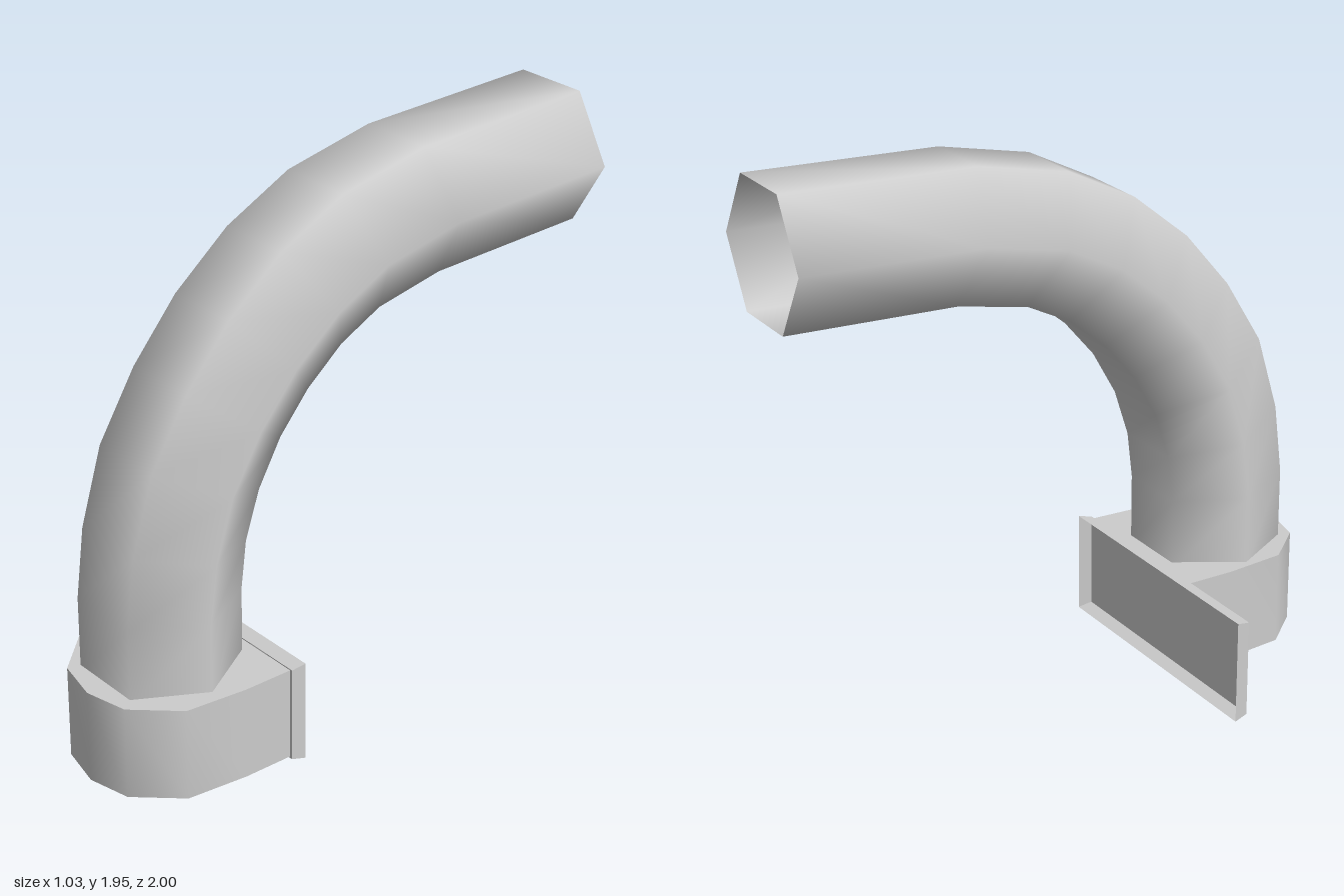
import * as THREE from 'three';
import { toCreasedNormals } from 'three/addons/utils/BufferGeometryUtils.js';

const grey = new THREE.MeshStandardMaterial({ color: 0xcccccc, side: THREE.DoubleSide });
grey.name = 'plainGrey';

// Open skin through a list of closed cross-sections with equal point counts
function loft(rings) {
  const n = rings[0].length;
  const index = [];
  for (let i = 0; i < rings.length - 1; i++) {
    for (let j = 0; j < n; j++) {
      const a = i * n + j, b = i * n + (j + 1) % n;
      index.push(a, a + n, b, b, a + n, b + n);
    }
  }
  const geometry = new THREE.BufferGeometry();
  geometry.setAttribute('position', new THREE.Float32BufferAttribute(rings.flat(2), 3));
  geometry.setIndex(index);
  geometry.computeVertexNormals();
  return geometry;
}

// Six-sided pipe; each row gives the outer and inner bend as [z, y, z, y]
function pipeGeometry() {
  const bend = [
    [0.92, 0.33, 0.46, 0.33], [0.92, 0.61, 0.46, 0.59], [0.89, 0.86, 0.44, 0.76],
    [0.81, 1.13, 0.385, 0.93], [0.67, 1.36, 0.295, 1.09], [0.5, 1.56, 0.18, 1.225],
    [0.29, 1.73, 0.04, 1.34], [0.04, 1.855, -0.12, 1.42], [-0.3, 1.925, -0.38, 1.47],
    [-1, 1.945, -1, 1.485],
  ];
  return loft(bend.map(([oz, oy, iz, iy]) => Array.from({ length: 6 }, (_, k) => {
    const angle = k * Math.PI / 3;
    const s = Math.sin(angle) / Math.sin(Math.PI / 3) / 2;
    return [
      0.165 + 0.266 * Math.cos(angle),
      (oy + iy) / 2 + (oy - iy) * s,
      (oz + iz) / 2 + (oz - iz) * s,
    ];
  })));
}

// Rounded-front collar, drawn in plan as [x, z] and raised along y
function collarGeometry() {
  const outline = [
    [-0.145, 0.42], [-0.14, 0.6], [-0.113, 0.82], [0.02, 0.965], [0.178, 1],
    [0.33, 0.965], [0.463, 0.82], [0.49, 0.6], [0.495, 0.42],
  ];
  const shape = new THREE.Shape(outline.map(([x, z]) => new THREE.Vector2(x, -z)));
  const geometry = new THREE.ExtrudeGeometry(shape, { depth: 0.338, bevelEnabled: false });
  geometry.rotateX(-Math.PI / 2).translate(0, 0.018, 0);
  return toCreasedNormals(geometry, 0.8);
}

// Rectangle ring in the xy plane
const rectangle = (x, y0, y1, z) => [[x, y0, z], [x, y1, z], [-x, y1, z], [-x, y0, z]];

export function createModel() {
  const model = new THREE.Group();
  model.name = 'bentPipe';
  const add = (name, geometry) => {
    const mesh = new THREE.Mesh(geometry, grey);
    mesh.name = name;
    model.add(mesh);
    return mesh;
  };

  add('pipe', pipeGeometry());
  add('collar', collarGeometry());

  // Mounting plate: a shallow tray, open and slightly flared at the back
  const rim = loft([rectangle(0.505, 0.012, 0.36, 0.42), rectangle(0.513, 0, 0.37, 0.37)]).toNonIndexed();
  rim.computeVertexNormals();
  add('plateRim', rim);
  add('platePanel', new THREE.PlaneGeometry(1.01, 0.348)).position.set(0, 0.186, 0.42);

  return model;
}
